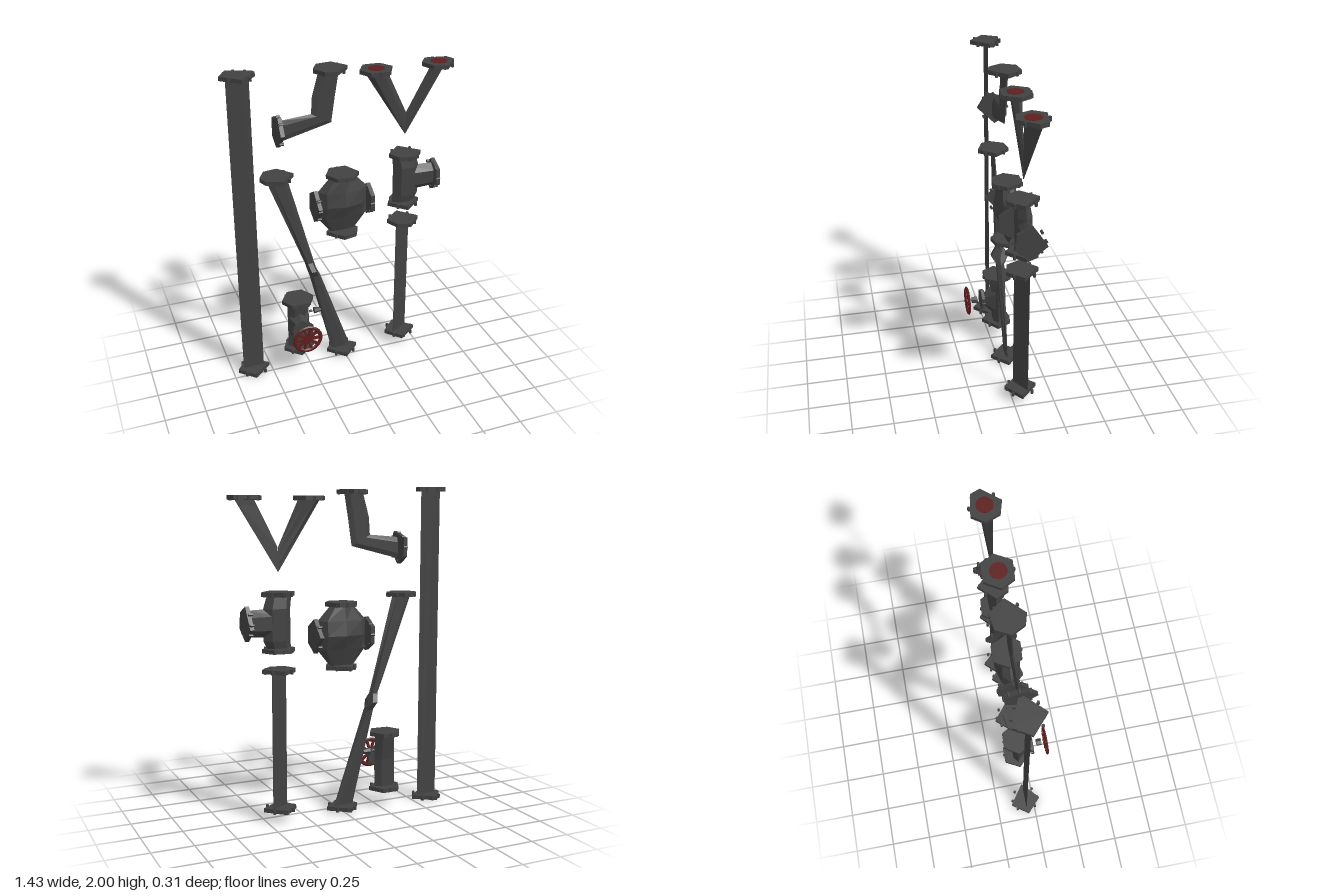
import * as THREE from 'three';

const Z = -0.055; // shared centre plane of all pipes
const iron = new THREE.MeshStandardMaterial({ color: 0x414141, flatShading: true, side: THREE.DoubleSide });
iron.name = 'dark iron';
const red = new THREE.MeshStandardMaterial({ color: 0x5e1e1e, flatShading: true });
red.name = 'dark red';

function add(parent, name, geometry, material, x = 0, y = 0, z = 0) {
  const mesh = new THREE.Mesh(geometry, material);
  mesh.name = name;
  mesh.position.set(x, y, z);
  parent.add(mesh);
  return mesh;
}

// Unit polygon used as a pipe cross-section
function polygon(n) {
  return Array.from({ length: n }, (_, i) => {
    const a = (i / n) * Math.PI * 2;
    return [Math.cos(a), Math.sin(a)];
  });
}
const HEX = polygon(6);
const OCT = polygon(8);
const SLAB = [[1, 0.94], [0.94, 1], [-1, -0.94], [-0.94, -1]]; // thin diagonal blade

// Capped loft; ring = [x, y, path angle in degrees, half width, half depth]
function loft(profile, rings) {
  const n = profile.length, pos = [], index = [];
  for (const [x, y, deg, su, sv] of rings) {
    const a = THREE.MathUtils.degToRad(deg);
    for (const [u, v] of profile) {
      pos.push(x - Math.sin(a) * u * su, y + Math.cos(a) * u * su, Z + v * sv);
    }
  }
  for (let r = 0; r < rings.length - 1; r++) {
    for (let i = 0; i < n; i++) {
      const a = r * n + i, b = r * n + (i + 1) % n;
      index.push(a, b, b + n, a, b + n, a + n);
    }
  }
  const last = (rings.length - 1) * n;
  for (let i = 1; i < n - 1; i++) {
    index.push(0, i + 1, i, last, last + i, last + i + 1);
  }
  const g = new THREE.BufferGeometry();
  g.setAttribute('position', new THREE.Float32BufferAttribute(pos, 3));
  g.setIndex(index);
  const flat = g.toNonIndexed();
  flat.computeVertexNormals();
  return flat;
}

// Ring of small bolts around the y axis
function bolts(parent, radius, size) {
  for (let i = 0; i < 8; i++) {
    const a = (i / 8) * Math.PI * 2;
    add(parent, 'bolt', new THREE.CylinderGeometry(size, size, 0.026, 6), iron,
      radius * Math.cos(a), -0.002, radius * Math.sin(a));
  }
}

// Irregular coarse flange; corners are angles in degrees, dir is the outward side
const TURN = { up: 0, down: Math.PI, left: -Math.PI / 2, right: Math.PI / 2 };
function flange(parent, x, y, dir, corners) {
  const g = new THREE.Group();
  g.name = 'flange';
  g.position.set(x, y, Z);
  g.rotation.z = TURN[dir];
  const outline = corners.map((d) => {
    const a = THREE.MathUtils.degToRad(d);
    return new THREE.Vector2(0.104 * Math.cos(a), 0.1 * Math.sin(a));
  });
  const plate = new THREE.ExtrudeGeometry(new THREE.Shape(outline), { depth: 0.025, bevelEnabled: false });
  plate.rotateX(Math.PI / 2).translate(0, 0.0125, 0);
  add(g, 'flangePlate', plate, iron);
  bolts(g, 0.085, 0.009);
  parent.add(g);
}

function section(root, name) {
  const g = new THREE.Group();
  g.name = name;
  root.add(g);
  return g;
}

function buildValve(root) {
  const g = section(root, 'valve');
  const x = -0.305, y = 0.29;
  add(g, 'valveBody', loft(HEX, [[x, 0.12, 90, 0.07, 0.03], [x, 0.3, 90, 0.07, 0.035], [x, 0.46, 90, 0.07, 0.062]]), iron);
  flange(g, x, 0.467, 'up', [0, 60, 125, 180, 245, 300]);
  flange(g, x, 0.112, 'down', [5, 85, 175, 240, 300]);
  // Bonnet reaching forward
  const neck = add(g, 'bonnetNeck', new THREE.CylinderGeometry(0.045, 0.125, 0.075, 6), iron, x, y, -0.002);
  neck.rotation.x = Math.PI / 2;
  neck.scale.x = 0.62;
  const cover = section(g, 'bonnetCover');
  cover.position.set(x, y, 0.045);
  cover.rotation.x = Math.PI / 2;
  add(cover, 'bonnetPlate', new THREE.CylinderGeometry(0.076, 0.072, 0.02, 6), iron);
  bolts(cover, 0.062, 0.007);
  add(g, 'stemNut', new THREE.CylinderGeometry(0.024, 0.024, 0.034, 6), iron, x, y, 0.098).rotation.x = Math.PI / 2;
  // Side drain cock
  add(g, 'drainPin', new THREE.CylinderGeometry(0.008, 0.008, 0.02, 6), iron, -0.22, 0.36, Z).rotation.z = Math.PI / 2;
  add(g, 'drainKnob', new THREE.CylinderGeometry(0.022, 0.013, 0.045, 6), iron, -0.175, 0.36, Z).rotation.z = Math.PI / 2;
  // Spoked handwheel
  const wheel = section(g, 'handwheel');
  wheel.position.set(x, y, 0.145);
  add(wheel, 'wheelRim', new THREE.TorusGeometry(0.084, 0.013, 6, 20), red).scale.z = 0.65;
  add(wheel, 'wheelHub', new THREE.CylinderGeometry(0.028, 0.026, 0.024, 10), red, 0, 0, -0.003).rotation.x = Math.PI / 2;
  for (let i = 0; i < 10; i++) {
    const a = (i / 10) * Math.PI * 2;
    const spoke = add(wheel, 'wheelSpoke', new THREE.BoxGeometry(0.06, 0.015, 0.014), red,
      0.052 * Math.cos(a), 0.052 * Math.sin(a), -0.003);
    spoke.rotation.z = a;
  }
}

export function createModel() {
  const root = new THREE.Group();
  root.name = 'pipeKit';

  // Long straight pipe, flattened front to back
  const long = section(root, 'longPipe');
  add(long, 'longTube', loft(HEX, [[-0.615, 0.025, 90, 0.067, 0.001], [-0.615, 1.975, 90, 0.067, 0.001]]), iron);
  flange(long, -0.615, 1.987, 'up', [88, 178, 244, 340, 358]);
  flange(long, -0.615, 0.013, 'down', [5, 85, 182, 285]);

  // Short straight pipe, a thin diagonal blade
  const short = section(root, 'shortPipe');
  add(short, 'shortTube', loft(SLAB, [[0.408, 0.08, 90, 0.058, 0.035], [0.408, 0.91, 90, 0.058, 0.035]]), iron);
  flange(short, 0.408, 0.918, 'up', [5, 80, 130, 185, 270]);
  flange(short, 0.408, 0.07, 'down', [0, 80, 175, 275]);

  // Slanted pipe pinched at its middle
  const slant = section(root, 'slantedPipe');
  add(slant, 'slantedTube', loft(HEX, [
    [-0.015, 0.035, 90, 0.064, 0.008], [-0.188, 0.63, 90, 0.034, 0.028], [-0.208, 0.68, 90, 0.03, 0.065],
    [-0.222, 0.73, 90, 0.03, 0.028], [-0.415, 1.335, 90, 0.064, 0.008]]), iron);
  flange(slant, -0.412, 1.343, 'up', [0, 80, 145, 180, 235, 285]);
  flange(slant, -0.007, 0.023, 'down', [0, 90, 180, 280]);

  // Elbow, flattened front to back
  const elbow = section(root, 'elbow');
  add(elbow, 'elbowTube', loft(HEX, [
    [-0.385, 1.63, 0, 0.065, 0.012], [-0.13, 1.678, 61.5, 0.07, 0.012],
    [-0.115, 1.81, 85, 0.07, 0.014], [-0.083, 1.955, 90, 0.063, 0.02]]), iron);
  flange(elbow, -0.072, 1.967, 'up', [0, 88, 125, 180, 235, 290]);
  flange(elbow, -0.393, 1.635, 'right', [25, 90, 183, 237, 303]);

  // V-shaped branch with red end caps
  const vee = section(root, 'veeBranch');
  add(vee, 'veeLeg', loft(HEX, [[0.407, 1.573, 180, 0.072, 0.002], [0.209, 1.92, 90, 0.069, 0.033]]), iron);
  add(vee, 'veeLeg', loft(SLAB, [[0.407, 1.573, 0, 0.072, 0.002], [0.608, 1.92, 90, 0.071, 0.035]]), iron);
  for (const [x, corners] of [[0.21, [62, 126, 180, 242, 302, 356]], [0.61, [82, 130, 188, 239, 321, 356]]]) {
    flange(vee, x, 1.928, 'up', corners);
    add(vee, 'endCap', new THREE.CylinderGeometry(0.05, 0.05, 0.004, 16), red, x, 1.94, Z + 0.002);
  }

  // Four-way cross
  const cross = section(root, 'cross');
  add(cross, 'crossBody', loft(OCT, [
    [-0.002, 0.92, 90, 0.076, 0.01], [-0.002, 1.025, 90, 0.16, 0.045], [-0.002, 1.11, 90, 0.16, 0.08],
    [-0.002, 1.2, 90, 0.16, 0.065], [-0.002, 1.29, 90, 0.076, 0.05]]), iron);
  flange(cross, -0.002, 1.299, 'up', [10, 65, 125, 180, 240, 300]);
  flange(cross, -0.002, 0.911, 'down', [0, 80, 130, 180, 280]);
  flange(cross, 0.169, 1.11, 'left', [0, 60, 120, 180, 270]);
  flange(cross, -0.172, 1.11, 'right', [0, 80, 180, 240, 300]);

  // Tee
  const tee = section(root, 'tee');
  add(tee, 'teeBody', loft(HEX, [
    [0.405, 1.055, 90, 0.075, 0.035], [0.418, 1.1, 90, 0.085, 0.045],
    [0.418, 1.29, 90, 0.085, 0.05], [0.403, 1.365, 90, 0.077, 0.035]]), iron);
  add(tee, 'teeBranch', loft(HEX, [[0.42, 1.205, 0, 0.085, 0.045], [0.595, 1.208, 0, 0.078, 0.05]]), iron);
  flange(tee, 0.408, 1.374, 'up', [5, 75, 130, 180, 265]);
  flange(tee, 0.408, 1.043, 'down', [0, 85, 180, 235, 295]);
  flange(tee, 0.604, 1.208, 'left', [0, 70, 125, 185, 285]);

  buildValve(root);
  return root;
}
